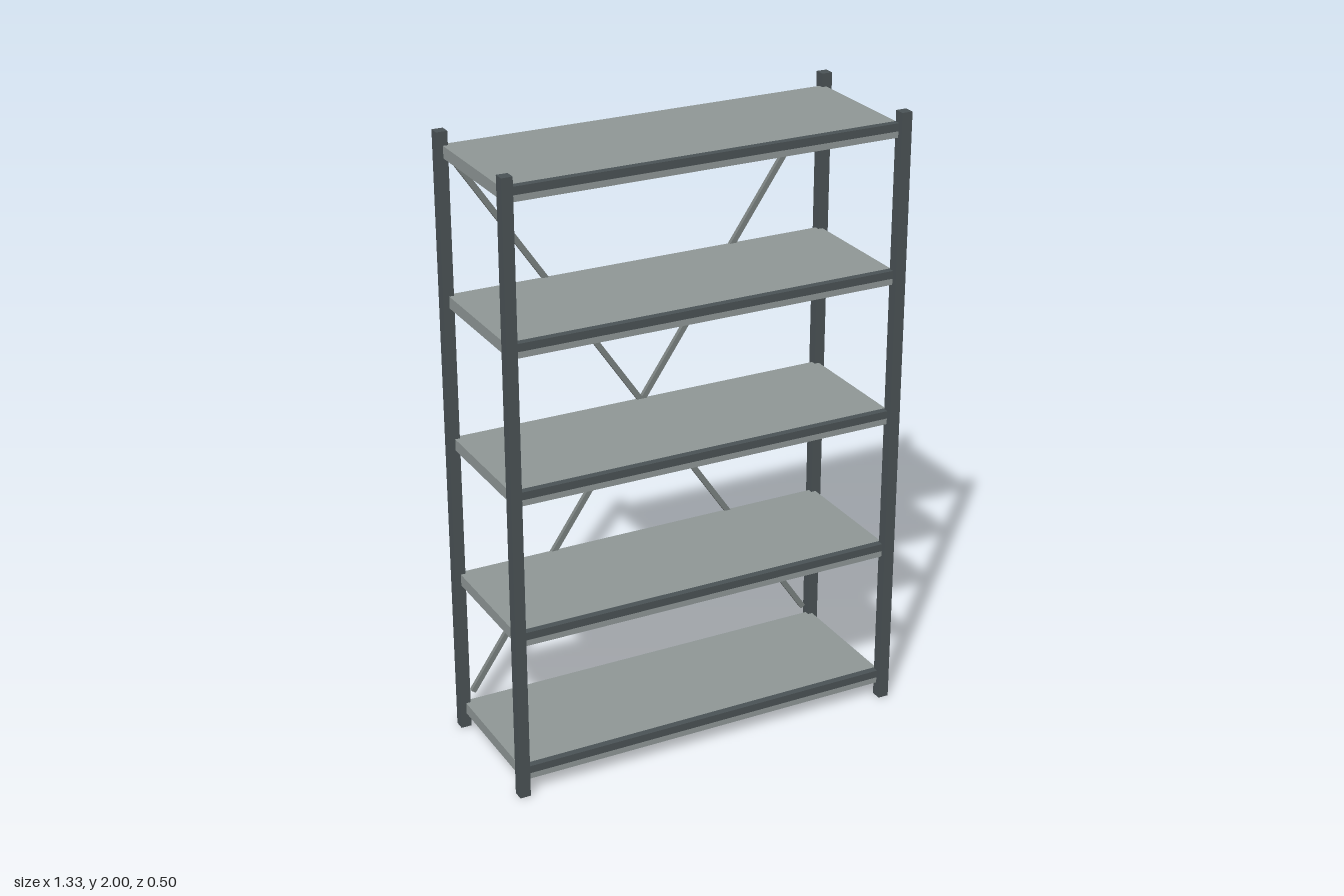
import * as THREE from 'three';

const material = (name, color) => {
  const m = new THREE.MeshStandardMaterial({ color });
  m.name = name;
  return m;
};

export function createModel() {
  const rack = new THREE.Group();
  rack.name = 'shelvingRack';
  const darkSteel = material('darkSteel', 0x4a5255);
  const shelfGrey = material('shelfGrey', 0x8f9796);
  const braceGrey = material('braceGrey', 0x7a8180);

  const box = (name, mat, size, pos) => {
    const mesh = new THREE.Mesh(new THREE.BoxGeometry(...size), mat);
    mesh.name = name;
    mesh.position.set(...pos);
    rack.add(mesh);
    return mesh;
  };

  const halfX = 0.646, halfZ = 0.231, postSize = 0.035;

  // Four corner posts
  for (const sx of [-1, 1]) {
    for (const sz of [-1, 1]) {
      box(`${sz > 0 ? 'front' : 'back'}${sx > 0 ? 'Left' : 'Right'}Post`, darkSteel,
        [postSize, 2, postSize], [sx * halfX, 1, sz * halfZ]);
    }
  }

  // Five shelves, each with a raised dark front lip
  for (let i = 0; i < 5; i++) {
    const y = 0.068 + i * 0.4675;
    box(`shelf${i + 1}`, shelfGrey, [halfX * 2 - 0.004, 0.038, 0.46], [0, y, 0]);
    box(`shelfLip${i + 1}`, darkSteel, [halfX * 2 - 0.006, 0.025, 0.023], [0, y + 0.014, 0.2205]);
  }

  // Crossed braces along the back
  const dx = 1.226, dy = 1.797;
  for (const s of [-1, 1]) {
    const brace = box(s > 0 ? 'risingBrace' : 'fallingBrace', braceGrey,
      [Math.hypot(dx, dy), 0.018, 0.014], [0, 1.014, -0.23]);
    brace.rotation.z = s * Math.atan2(dy, dx);
  }

  return rack;
}
